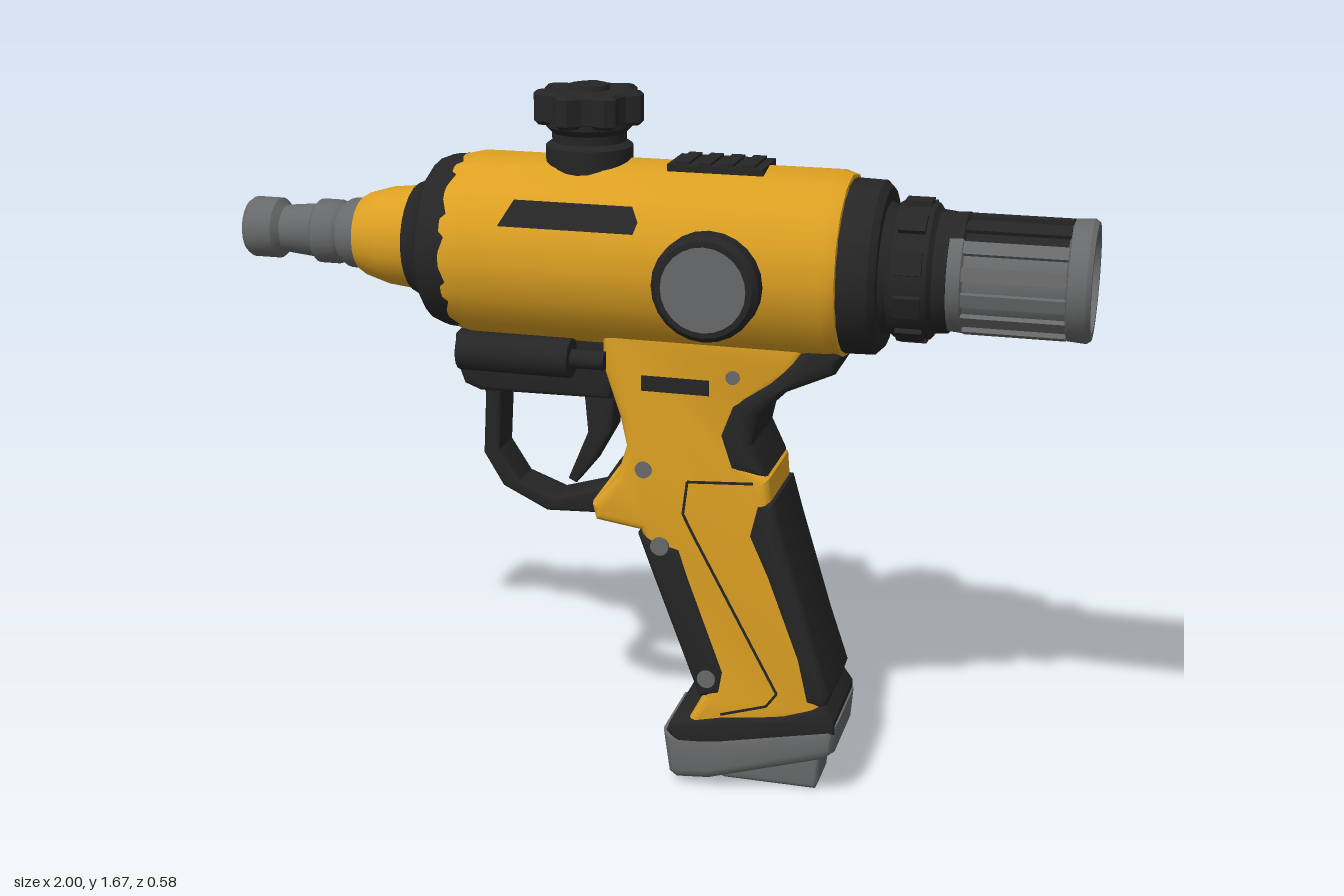
import * as THREE from 'three';
import { toCreasedNormals } from 'three/addons/utils/BufferGeometryUtils.js';

const AXIS = 1.287; // height of the barrel axis

export function createModel() {
  const root = new THREE.Group();
  root.name = 'sprayTool';
  const paint = (name, color) => {
    const m = new THREE.MeshStandardMaterial({ color });
    m.name = name;
    return m;
  };
  const yellow = paint('yellow', 0xdca022);
  const black = paint('black', 0x252525);
  const grey = paint('grey', 0x68696a);

  const add = (name, geo, mat, parent = root) => {
    const mesh = new THREE.Mesh(geo, mat);
    mesh.name = name;
    parent.add(mesh);
    return mesh;
  };
  // Turned part along x; profile is [x, radius] from back to front
  const turned = (name, profile, mat, segments = 24, start = 0, sweep = Math.PI * 2) => {
    const pts = profile.map(([x, r]) => new THREE.Vector2(r, x));
    const geo = new THREE.LatheGeometry(pts, segments, start, sweep).rotateZ(-Math.PI / 2);
    const mesh = add(name, toCreasedNormals(geo, 0.55), mat);
    mesh.position.y = AXIS;
    return mesh;
  };
  const outline = (pts) => new THREE.Shape(pts.map(([x, y]) => new THREE.Vector2(x, y)));
  // Side outline given thickness across z with rounded edges
  const slab = (name, pts, half, bevel, mat) => {
    const geo = new THREE.ExtrudeGeometry(outline(pts), {
      depth: 2 * (half - bevel), bevelEnabled: true, bevelThickness: bevel,
      bevelSize: bevel, bevelOffset: -bevel, bevelSegments: 3, steps: 1,
    }).translate(0, 0, bevel - half);
    return add(name, toCreasedNormals(geo, 0.6), mat);
  };
  // Makes a part on both sides of the model
  const bothSides = (name, build) => {
    for (const s of [1, -1]) {
      const g = new THREE.Group();
      g.name = name + (s > 0 ? 'Front' : 'Back');
      g.scale.z = s;
      build(g);
      root.add(g);
    }
  };
  const disc = (name, x, y, z0, z1, r0, r1, mat, g) => {
    const geo = new THREE.CylinderGeometry(r1, r0, z1 - z0, 24).rotateX(Math.PI / 2);
    add(name, geo, mat, g).position.set(x, y, (z0 + z1) / 2);
  };

  // Barrel, back to front
  turned('rearNozzle', [[-0.985, 0], [-0.985, 0.04], [-1, 0.045], [-1, 0.065], [-0.99, 0.072], [-0.925, 0.072],
    [-0.91, 0.056], [-0.83, 0.064], [-0.82, 0.076], [-0.77, 0.076], [-0.76, 0.07], [-0.74, 0.082], [-0.69, 0.085]], grey);
  turned('nozzleBore', [[-0.987, 0], [-0.987, 0.025]], yellow, 12);
  turned('rearCone', [[-0.71, 0], [-0.71, 0.088], [-0.69, 0.1], [-0.64, 0.115], [-0.52, 0.128]], yellow);
  turned('rearRing', [[-0.58, 0.11], [-0.57, 0.128], [-0.545, 0.14], [-0.51, 0.19], [-0.48, 0.202], [-0.43, 0.205]], black);
  turned('bodyShell', [[-0.45, 0.19], [-0.45, 0.205], [-0.4, 0.217], [0.43, 0.217], [0.46, 0.207], [0.465, 0.18]], yellow, 16);
  turned('frontRing', [[0.455, 0.18], [0.46, 0.197], [0.53, 0.195], [0.545, 0.18], [0.545, 0.15], [0.56, 0.142],
    [0.57, 0.152], [0.65, 0.152], [0.66, 0.138], [0.69, 0.135], [0.69, 0.1]], black);
  turned('muzzle', [[0.68, 0.1], [0.68, 0.13], [0.72, 0.133], [0.725, 0.124], [0.945, 0.124], [0.95, 0.134],
    [0.99, 0.137], [1, 0.13], [1, 0.112], [0.9, 0.105], [0.78, 0.09], [0.77, 0]], grey, 32);
  turned('muzzleTopInlay', [[0.685, 0.134], [0.72, 0.136], [0.725, 0.126], [0.945, 0.126]], black, 8,
    Math.PI * 1.5 - 0.75, 1.5);

  // Raised grips round the collar and the muzzle
  const ribs = (name, count, x, radius, size, mat) => {
    for (let i = 0; i < count; i++) {
      const a = (i / count) * Math.PI * 2;
      const rib = add(name, new THREE.BoxGeometry(...size), mat(a));
      rib.position.set(x, AXIS + radius * Math.cos(a), radius * Math.sin(a));
      rib.rotation.x = a;
    }
  };
  ribs('collarGrip', 10, 0.61, 0.15, [0.06, 0.022, 0.05], () => black);
  ribs('muzzleRib', 14, 0.835, 0.124, [0.225, 0.02, 0.03], (a) => (Math.cos(a) > 0.8 ? black : grey));

  // Top knob with scalloped edge
  const knob = [];
  for (let i = 0; i < 56; i++) {
    const a = (i / 56) * Math.PI * 2;
    const r = 0.113 + 0.013 * Math.tanh(2.5 * Math.cos(7 * a));
    knob.push([r * Math.cos(a), r * Math.sin(a)]);
  }
  const knobGeo = new THREE.ExtrudeGeometry(outline(knob), {
    depth: 0.06, bevelThickness: 0.008, bevelSize: 0.008, bevelOffset: -0.008, bevelSegments: 1,
  }).rotateX(-Math.PI / 2);
  add('knobCap', toCreasedNormals(knobGeo, 0.5), black).position.set(-0.15, 1.588, 0);
  const stem = [[0.1, 1.47], [0.1, 1.53], [0.085, 1.54], [0.085, 1.56], [0.1, 1.575], [0.1, 1.59]];
  add('knobStem', toCreasedNormals(new THREE.LatheGeometry(stem.map((p) => new THREE.Vector2(...p)), 24), 0.5),
    black).position.x = -0.15;
  add('knobHub', new THREE.CylinderGeometry(0.045, 0.05, 0.02, 16), black).position.set(-0.15, 1.657, 0);

  // Ribbed pad on top
  add('topPad', new THREE.BoxGeometry(0.22, 0.03, 0.13), black).position.set(0.16, 1.492, 0);
  for (let i = 0; i < 4; i++) {
    add('padRib', new THREE.BoxGeometry(0.03, 0.01, 0.12), black).position.set(0.085 + i * 0.05, 1.508, 0);
  }

  // Side dials, slots, rods and handle details
  bothSides('sideDetails', (g) => {
    disc('dialNeck', 0.19, 1.282, 0.15, 0.235, 0.105, 0.105, black, g);
    disc('dialRim', 0.19, 1.282, 0.232, 0.272, 0.12, 0.12, black, g);
    disc('dialBevel', 0.19, 1.282, 0.272, 0.285, 0.12, 0.108, black, g);
    disc('dialFace', 0.19, 1.282, 0.28, 0.288, 0.095, 0.095, grey, g);

    const slot = new THREE.ShapeGeometry(outline([[-0.305, 1.375], [0.01, 1.375], [0.018, 1.4], [0, 1.43], [-0.275, 1.43]]));
    const p = slot.attributes.position;
    for (let i = 0; i < p.count; i++) p.setZ(i, Math.sqrt(0.223 ** 2 - (p.getY(i) - AXIS) ** 2));
    slot.computeVertexNormals();
    add('bodySlot', slot, black, g);

    const rod = (x0, x1, r) => {
      const geo = new THREE.CylinderGeometry(r, r, x1 - x0, 14).rotateZ(Math.PI / 2);
      add('sideRod', geo, black, g).position.set((x0 + x1) / 2, 1.055, 0.12);
    };
    rod(-0.43, -0.16, 0.046);
    rod(-0.16, -0.08, 0.022);

    add('handleSlot', new THREE.BoxGeometry(0.16, 0.036, 0.006), black, g).position.set(0.085, 1.01, 0.12);
    disc('upperPin', 0.22, 1.04, 0.11, 0.126, 0.016, 0.016, grey, g);
    disc('middlePin', 0.01, 0.8, 0.11, 0.124, 0.02, 0.02, grey, g);
    disc('gripScrew', 0.05, 0.615, 0.11, 0.128, 0.022, 0.022, grey, g);
    disc('gripScrew', 0.165, 0.29, 0.11, 0.128, 0.022, 0.022, grey, g);

    // Panel seam
    const seam = [[0.27, 0.79], [0.115, 0.78], [0.105, 0.7], [0.13, 0.65], [0.335, 0.27], [0.31, 0.235], [0.2, 0.2]];
    for (let i = 1; i < seam.length; i++) {
      const [[x0, y0], [x1, y1]] = [seam[i - 1], seam[i]];
      const line = add('panelSeam', new THREE.BoxGeometry(Math.hypot(x1 - x0, y1 - y0), 0.006, 0.004), black, g);
      line.position.set((x0 + x1) / 2, (y0 + y1) / 2, 0.12);
      line.rotation.z = Math.atan2(y1 - y0, x1 - x0);
    }
  });

  // Handle
  slab('handle', [[-0.09, 1.14], [-0.09, 1.04], [-0.05, 0.92], [-0.035, 0.85], [-0.06, 0.77], [-0.12, 0.7], [-0.11, 0.66],
    [0, 0.645], [0.04, 0.54], [0.155, 0.24], [0.1, 0.14], [0.44, 0.22], [0.45, 0.27], [0.405, 0.4], [0.33, 0.65], [0.31, 0.74],
    [0.305, 0.8], [0.25, 0.83], [0.235, 0.9], [0.26, 0.98], [0.35, 1.05], [0.4, 1.14]], 0.12, 0.022, yellow);
  slab('rearWeb', [[0.43, 1.14], [0.46, 1.1], [0.45, 1.06], [0.34, 1.01], [0.28, 0.95], [0.265, 0.88], [0.3, 0.805],
    [0.21, 0.81], [0.18, 0.9], [0.21, 0.98], [0.3, 1.04], [0.38, 1.12]], 0.123, 0.025, black);
  slab('rearGrip', [[0.275, 0.745], [0.255, 0.66], [0.3, 0.56], [0.375, 0.36], [0.4, 0.25], [0.45, 0.24], [0.462, 0.28],
    [0.418, 0.41], [0.345, 0.65], [0.318, 0.745]], 0.123, 0.02, black);
  slab('frontGrip', [[-0.006, 0.64], [0.1, 0.615], [0.125, 0.54], [0.21, 0.31], [0.2, 0.25], [0.145, 0.237], [0.03, 0.54]],
    0.124, 0.018, black);

  // Handle base
  slab('baseCollar', [[0.065, 0.14], [0.075, 0.165], [0.2, 0.195], [0.35, 0.215], [0.45, 0.255], [0.475, 0.22],
    [0.475, 0.18], [0.1, 0.1]], 0.124, 0.012, black);
  slab('base', [[0.055, 0.138], [0.07, 0.03], [0.09, 0.015], [0.17, 0.022], [0.45, 0.11], [0.474, 0.13], [0.48, 0.205],
    [0.2, 0.148]], 0.125, 0.025, grey);
  slab('baseFoot', [[0.175, 0.04], [0.19, 0], [0.42, 0], [0.428, 0.02], [0.432, 0.13], [0.2, 0.1]], 0.06, 0.012, grey);

  // Trigger and guard
  slab('underRail', [[-0.465, 1.03], [-0.44, 0.96], [-0.4, 0.945], [-0.08, 0.95], [-0.06, 1.12], [-0.42, 1.12], [-0.46, 1.08]],
    0.085, 0.015, black);
  slab('triggerGuard', [[-0.42, 0.98], [-0.4, 0.93], [-0.408, 0.78], [-0.36, 0.7], [-0.25, 0.647], [-0.09, 0.655], [-0.04, 0.7],
    [-0.07, 0.79], [-0.12, 0.715], [-0.23, 0.682], [-0.32, 0.715], [-0.368, 0.79], [-0.36, 0.93], [-0.33, 0.98]], 0.05, 0.008, black);
  slab('guardMount', [[-0.13, 0.69], [-0.06, 0.79], [0.02, 0.8], [0.02, 0.65], [-0.1, 0.655]], 0.075, 0.012, yellow);
  slab('trigger', [[-0.16, 0.97], [-0.08, 0.97], [-0.09, 0.86], [-0.14, 0.77], [-0.18, 0.72], [-0.2, 0.73], [-0.15, 0.85]],
    0.04, 0.008, black);

  return root;
}
